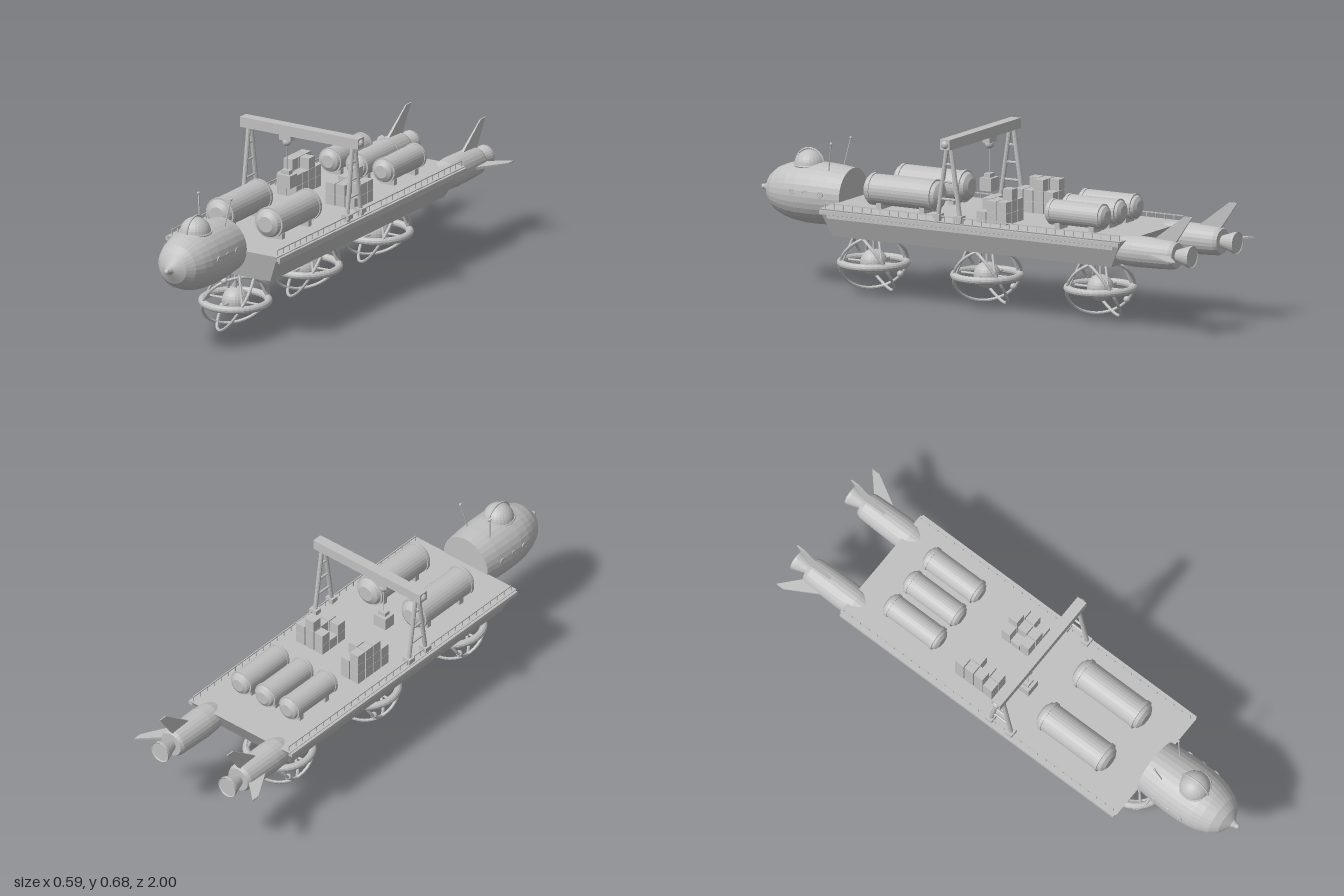
import * as THREE from 'three';
import { ConvexGeometry } from 'three/addons/geometries/ConvexGeometry.js';

export function createModel() {
  const root = new THREE.Group();
  const grey = new THREE.MeshStandardMaterial({ color: 0xc0c0c0, flatShading: true });
  grey.name = 'lightGrey';
  const V = (x, y, z) => new THREE.Vector3(x, y, z);

  const group = (name, parent = root) => {
    const g = new THREE.Group();
    g.name = name;
    parent.add(g);
    return g;
  };
  const add = (parent, name, geo, x = 0, y = 0, z = 0) => {
    const m = new THREE.Mesh(geo, grey);
    m.name = name;
    m.position.set(x, y, z);
    parent.add(m);
    return m;
  };
  const box = (p, name, w, h, d, x, y, z) => add(p, name, new THREE.BoxGeometry(w, h, d), x, y, z);
  const ball = (p, name, r, x, y, z, n = 16) => add(p, name, new THREE.SphereGeometry(r, n, Math.ceil(n * 0.6)), x, y, z);
  const rod = (p, name, a, b, r, n = 8) => {
    const d = b.clone().sub(a);
    const m = add(p, name, new THREE.CylinderGeometry(r, r, d.length(), n));
    m.position.copy(a).addScaledVector(d, 0.5);
    m.quaternion.setFromUnitVectors(V(0, 1, 0), d.normalize());
    return m;
  };
  // Lathe along z, profile as [radius, z] with rising z
  const latheZ = (p, name, pts, x, y, z, n = 28) => {
    const m = add(p, name, new THREE.LatheGeometry(pts.map(q => new THREE.Vector2(...q)), n), x, y, z);
    m.rotation.x = Math.PI / 2;
    return m;
  };

  // Hull: tapered barge with rub strakes
  const hull = group('hull');
  const corners = [];
  for (const s of [-1, 1]) {
    corners.push(V(s * 0.248, 0.355, 0.6), V(s * 0.248, 0.355, -0.73), V(s * 0.198, 0.243, 0.57), V(s * 0.198, 0.243, -0.66));
  }
  add(hull, 'hullBody', new ConvexGeometry(corners));

  for (const s of [-1, 1]) {
    box(hull, 'strake', 0.018, 0.015, 1.32, s * 0.248, 0.343, -0.065);
    box(hull, 'lowerStrake', 0.018, 0.012, 1.26, s * 0.231, 0.324, -0.06);
    // Deck railing
    const rail = group('railing');
    box(rail, 'topRail', 0.004, 0.004, 1.3, s * 0.237, 0.376, -0.07);
    for (let i = 0; i <= 32; i++) box(rail, 'railPost', 0.003, 0.022, 0.003, s * 0.237, 0.365, 0.58 - i * 1.3 / 32);
  }

  // Cabin with rounded nose
  const cabin = group('cabin');
  latheZ(cabin, 'cabinShell', [[0, 0.595], [0.109, 0.595], [0.116, 0.66], [0.119, 0.73], [0.118, 0.79],
    [0.112, 0.84], [0.103, 0.875], [0.085, 0.917], [0.06, 0.946], [0.018, 0.97], [0.01, 0.985], [0, 0.986]], 0, 0.362, 0, 32);
  ball(cabin, 'noseTip', 0.011, 0, 0.362, 0.989, 12);
  add(cabin, 'dome', new THREE.SphereGeometry(0.06, 24, 10, 0, Math.PI * 2, 0, Math.PI / 2), 0, 0.464, 0.787);
  const base = add(cabin, 'domeRing', new THREE.TorusGeometry(0.06, 0.005, 6, 28), 0, 0.466, 0.787);
  base.rotation.x = Math.PI / 2;
  const rib = add(cabin, 'domeRib', new THREE.TorusGeometry(0.063, 0.004, 6, 20, Math.PI), 0, 0.466, 0.787);
  rib.rotation.y = Math.PI / 2;
  for (const s of [-1, 1]) {
    rod(cabin, 'antenna', V(s * 0.055, 0.455, 0.672), V(s * 0.073, 0.57, 0.65), 0.0025, 6);
    ball(cabin, 'antennaTip', 0.006, s * 0.073, 0.57, 0.65, 10);
    for (const z of [0.8, 0.74, 0.675]) {
      const ring = add(cabin, 'portholeRim', new THREE.TorusGeometry(0.011, 0.003, 6, 16), s * 0.115, 0.378, z);
      ring.rotation.y = Math.PI / 2;
      const glass = add(cabin, 'porthole', new THREE.CylinderGeometry(0.011, 0.011, 0.006, 16), s * 0.114, 0.378, z);
      glass.rotation.z = Math.PI / 2;
    }
  }

  // Cargo tanks on saddles
  const tank = (x, y, z, r, half) => {
    const g = group('tank');
    const b = half - r * 0.5;
    latheZ(g, 'tankShell', [[0, -half], [r * 0.5, -half], [r * 0.8, -half + r * 0.18], [r * 0.94, -b],
      [r * 0.94, b], [r * 0.8, half - r * 0.18], [r * 0.5, half], [0, half]], x, y, z);
    for (const s of [-1, 1]) {
      const band = add(g, 'tankBand', new THREE.CylinderGeometry(r, r, 0.012, 28), x, y, z + s * b);
      band.rotation.x = Math.PI / 2;
      const h = y - r * 0.75 - 0.35;
      box(g, 'saddle', r * 1.2, h, 0.022, x, 0.35 + h / 2, z + s * b * 0.7);
    }
  };
  for (const x of [-0.11, 0.11]) tank(x, 0.425, 0.302, 0.062, 0.165);
  for (const x of [-0.12, 0, 0.12]) tank(x, 0.417, -0.467, 0.05, 0.132);

  // Stacked crates: each digit is a stack height
  const stack = (rows, x0, z0) => {
    const g = group('crates');
    rows.forEach((row, j) => [...row].forEach((n, i) => {
      for (let k = 0; k < +n; k++) box(g, 'crate', 0.041, 0.043, 0.041, x0 + i * 0.045, 0.3765 + k * 0.044, z0 + j * 0.045);
    }));
  };
  stack(['32', '33', '32', '22'], -0.15, -0.215);
  stack(['232', '122', '221'], 0.07, -0.165);

  // Gantry crane straddling the deck
  const gantry = group('gantry');
  const gz = 0.035;
  box(gantry, 'beam', 0.53, 0.04, 0.042, 0, 0.658, gz);
  for (const s of [-1, 1]) {
    ball(gantry, 'beamEnd', 0.016, s * 0.26, 0.658, gz);
    const at = (t, f) => V(s * 0.233, 0.375 + t * 0.27, gz + f * (0.048 - t * 0.04));
    for (const f of [-1, 1]) {
      rod(gantry, 'leg', at(0, f), at(1, f), 0.009, 10);
      box(gantry, 'foot', 0.035, 0.018, 0.03, s * 0.233, 0.375, gz + f * 0.048);
      box(gantry, 'footPad', 0.02, 0.02, 0.02, s * 0.233, 0.36, gz + f * 0.048);
    }
    for (const t of [0.25, 0.5, 0.75]) rod(gantry, 'rung', at(t, -1), at(t, 1), 0.005, 6);
  }
  box(gantry, 'trolley', 0.052, 0.026, 0.03, -0.067, 0.628, gz);
  ball(gantry, 'pulley', 0.018, -0.067, 0.608, gz);
  rod(gantry, 'cable', V(-0.067, 0.6, gz), V(-0.067, 0.49, gz), 0.002, 6);
  box(gantry, 'load', 0.06, 0.05, 0.05, -0.067, 0.455, gz);
  box(gantry, 'loadHook', 0.035, 0.016, 0.025, -0.067, 0.488, gz);

  // Swept fin, x outward from the engine axis and y aft, thinning to the tip
  const finGeometry = (tip) => {
    const shape = new THREE.Shape([[0.045, 0.82], [tip, 0.965], [tip, 1.0], [0.045, 0.925]].map(p => new THREE.Vector2(...p)));
    const geo = new THREE.ExtrudeGeometry(shape, { depth: 0.012, bevelEnabled: false });
    geo.translate(0, 0, -0.006);
    const pos = geo.attributes.position;
    for (let i = 0; i < pos.count; i++) if (pos.getX(i) > 0.1) pos.setZ(i, pos.getZ(i) * 0.35);
    return geo;
  };

  // Rear engines
  for (const s of [-1, 1]) {
    const g = group('engine');
    const x = s * 0.167, y = 0.31;
    latheZ(g, 'engineBody', [[0, -0.935], [0.048, -0.935], [0.055, -0.92], [0.058, -0.85], [0.06, -0.76],
      [0.057, -0.71], [0.046, -0.675], [0.033, -0.66], [0, -0.656]], x, y, 0, 24);
    latheZ(g, 'nozzle', [[0, -0.997], [0.038, -0.997], [0.042, -1.0], [0.042, -0.99], [0.022, -0.93], [0, -0.93]], x, y, 0, 24);
    for (const [name, out, tip] of [['topFin', V(0, 1, 0), 0.154], ['sideFin', V(s, 0, 0), 0.128]]) {
      const fin = add(g, name, finGeometry(tip), x, y, 0);
      const aft = V(0, 0, -1);
      fin.quaternion.setFromRotationMatrix(new THREE.Matrix4().makeBasis(out, aft, out.clone().cross(aft)));
    }
  }

  // Gyroscopic lift pods under the hull
  for (const z of [0.505, 0.005, -0.495]) {
    const pod = group('liftPod');
    pod.position.set(0, 0.116, z);
    ball(pod, 'core', 0.052, 0, 0, 0, 24);
    const rim = add(pod, 'flatRing', new THREE.TorusGeometry(0.1265, 0.0145, 12, 40));
    rim.rotation.x = Math.PI / 2;
    for (const s of [-1, 1]) {
      const ring = add(pod, 'tiltedRing', new THREE.TorusGeometry(0.13, 0.006, 8, 40));
      ring.quaternion.setFromUnitVectors(V(0, 0, 1), V(0.648, -0.524, s * 0.55).normalize());
      for (const t of [-1, 1]) rod(pod, 'strut', V(s * 0.045, 0.135, t * 0.045), V(s * 0.088, 0.005, t * 0.088), 0.005);
    }
    ball(pod, 'ringBead', 0.013, 0.007, 0.102, 0.089);
    ball(pod, 'ringBead', 0.013, -0.095, -0.055, -0.06);
    rod(pod, 'post', V(0, 0.135, 0), V(0, 0.04, 0), 0.006);
    rod(pod, 'spoke', V(-0.12, 0, 0), V(0.12, 0, 0), 0.005);
    rod(pod, 'spoke', V(0, 0, -0.12), V(0, 0, 0.12), 0.005);
  }
  return root;
}
